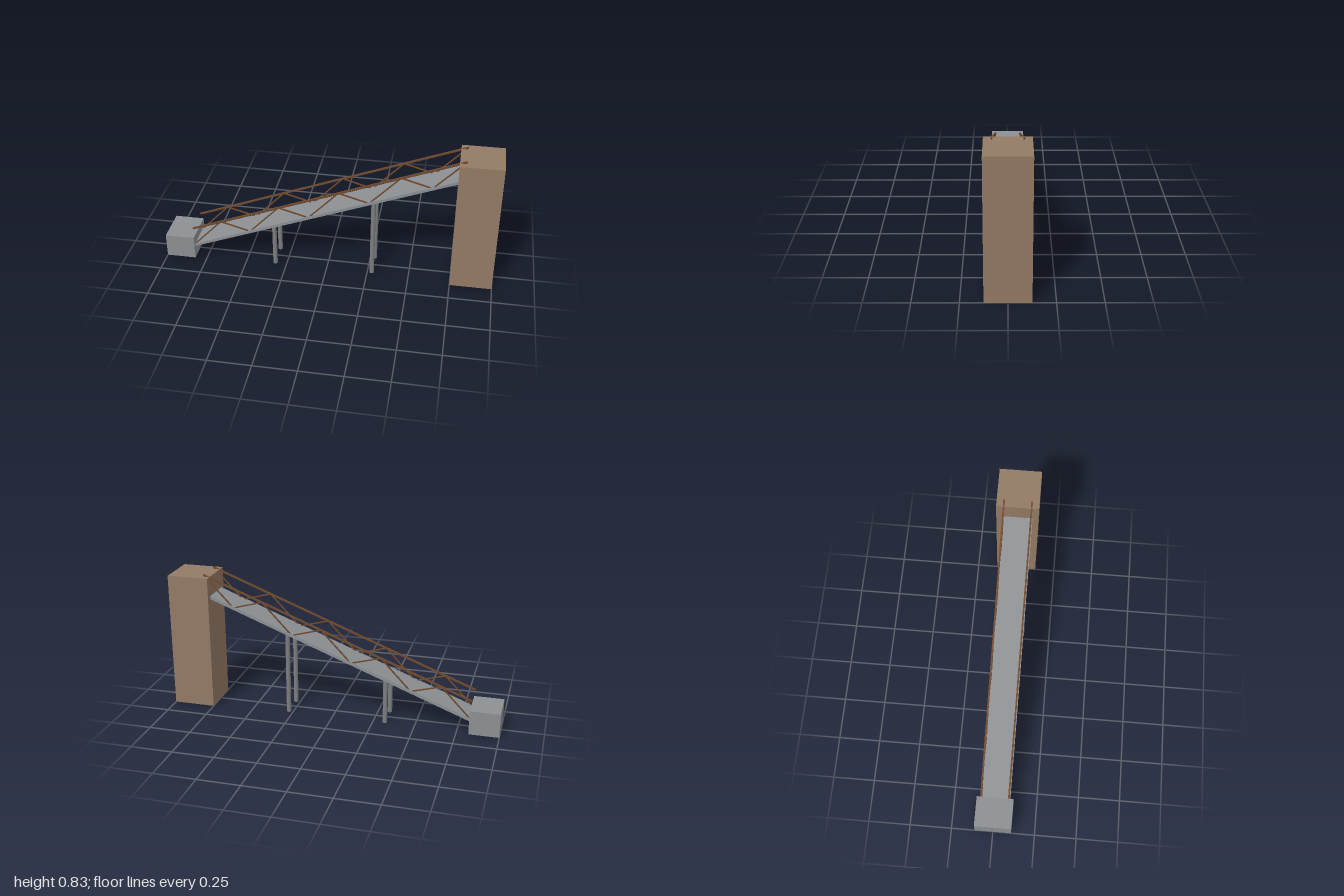
import * as THREE from 'three';

const material = (name, color) => {
  const m = new THREE.MeshStandardMaterial({ color });
  m.name = name;
  return m;
};

export function createModel() {
  const model = new THREE.Group();
  model.name = 'inclinedBridge';
  const concrete = material('concrete', 0x8c9093);
  const steel = material('steel', 0x7c7e80);
  const stone = material('brownStone', 0x937a65);
  const rust = material('rustBrown', 0x70492e);

  const add = (name, geometry, mat, x, y, z) => {
    const mesh = new THREE.Mesh(geometry, mat);
    mesh.name = name;
    mesh.position.set(x, y, z);
    model.add(mesh);
    return mesh;
  };

  // Straight bar of rectangular section between two points in a plane of constant z
  const bar = (name, [x0, y0], [x1, y1], z, thick, width, mat) => {
    const length = Math.hypot(x1 - x0, y1 - y0);
    const mesh = add(name, new THREE.BoxGeometry(length, thick, width), mat,
      (x0 + x1) / 2, (y0 + y1) / 2, z);
    mesh.rotation.z = Math.atan2(y1 - y0, x1 - x0);
  };

  const startX = -0.83, panels = 9, step = 0.18, slope = 0.388;
  const endX = startX + panels * step;
  const deckY = (x) => 0.08 + slope * (x - startX);
  const railY = (x) => deckY(x) + 0.12;

  // End supports
  add('lowerAbutment', new THREE.BoxGeometry(0.178, 0.147, 0.22), concrete, -0.911, 0.0735, 0);
  add('tower', new THREE.BoxGeometry(0.25, 0.82, 0.252), stone, 0.875, 0.41, 0);

  // Sloping deck
  bar('deck', [startX, deckY(startX)], [endX, deckY(endX)], 0, 0.018, 0.18, concrete);

  for (const side of [-1, 1]) {
    // Top rail and zigzag truss on each side
    const z = side * 0.082;
    bar('topRail', [startX, railY(startX)], [endX, railY(endX)], z, 0.01, 0.01, rust);
    for (let i = 0; i < panels; i++) {
      const node = (k) => {
        const x = startX + k * step;
        return [x, k % 2 ? railY(x) : deckY(x)];
      };
      bar('trussDiagonal', node(i), node(i + 1), z, 0.007, 0.007, rust);
    }
    // Columns reaching the underside of the deck
    for (const x of [-0.32, 0.277]) {
      const height = deckY(x) - 0.008;
      add('column', new THREE.CylinderGeometry(0.014, 0.014, height, 12), steel,
        x, height / 2, side * 0.075);
    }
  }
  return model;
}
